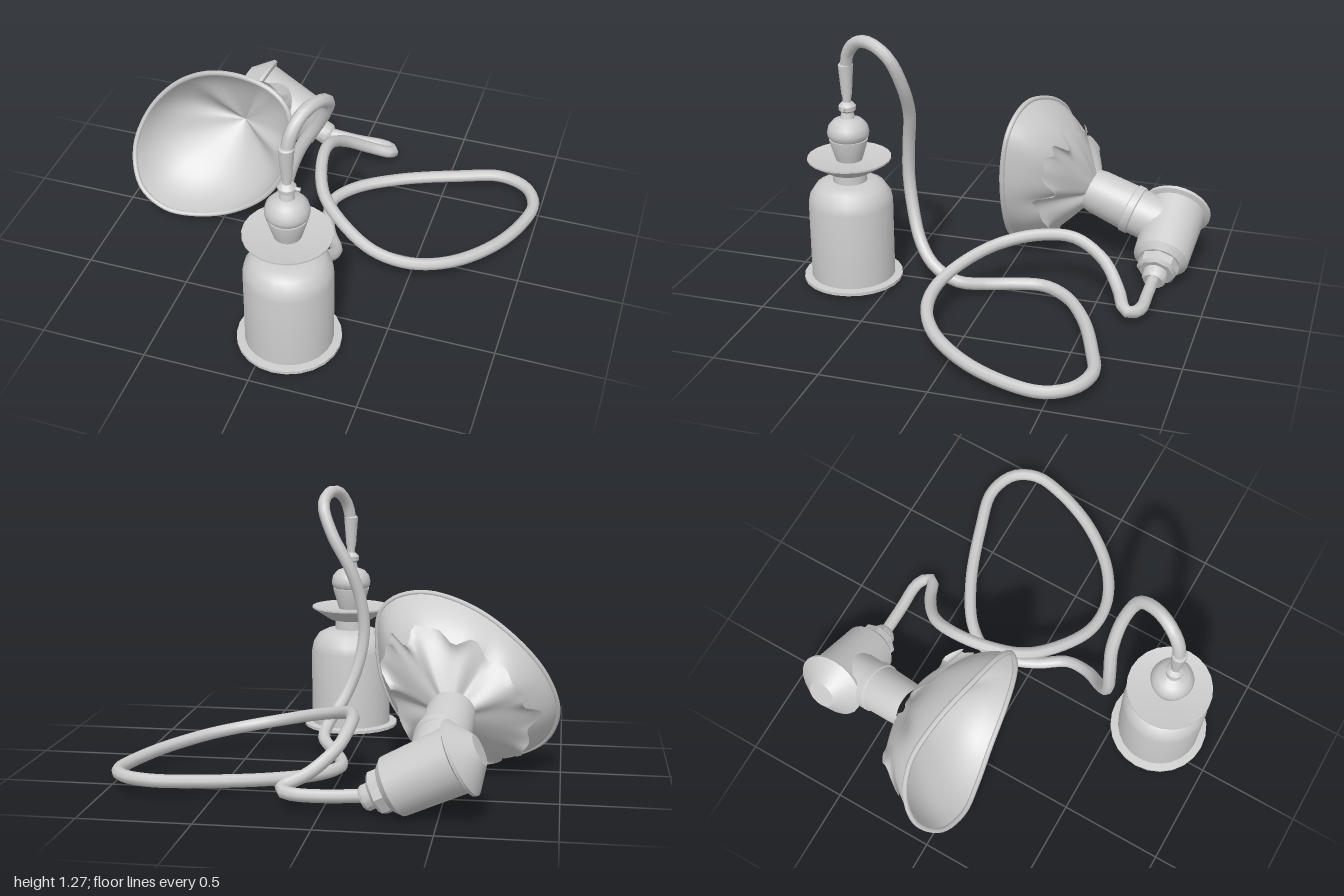
import * as THREE from 'three';
import { toCreasedNormals } from 'three/addons/utils/BufferGeometryUtils.js';

const V = (x, y, z) => new THREE.Vector3(x, y, z);
const mat = new THREE.MeshStandardMaterial({ color: 0xcccccc });
const thin = new THREE.MeshStandardMaterial({ color: 0xcccccc, side: THREE.DoubleSide });

function part(name, geometry, material = mat) {
  const m = new THREE.Mesh(geometry, material);
  m.name = name;
  return m;
}

// Turned part: profile is [radius, distance along the axis], rising from origin along dir
function turned(name, profile, origin, dir = V(0, 1, 0), sides = 24) {
  const g = new THREE.LatheGeometry(profile.map(([r, h]) => new THREE.Vector2(r, h)), sides);
  const m = part(name, toCreasedNormals(g, 0.6));
  m.position.copy(origin);
  m.quaternion.setFromUnitVectors(V(0, 1, 0), dir.clone().normalize());
  return m;
}

// Surface through closed rings: point(t, u) for t in 0..1 (rows) and u in 0..1 (around)
function loft(rows, cols, point) {
  const pos = [], idx = [];
  for (let i = 0; i <= rows; i++)
    for (let j = 0; j < cols; j++) pos.push(...point(i / rows, j / cols).toArray());
  for (let i = 0; i < rows; i++)
    for (let j = 0; j < cols; j++) {
      const a = i * cols + j, b = i * cols + (j + 1) % cols;
      idx.push(a, b, a + cols, b, b + cols, a + cols);
    }
  const g = new THREE.BufferGeometry();
  g.setAttribute('position', new THREE.Float32BufferAttribute(pos, 3));
  g.setIndex(idx);
  g.computeVertexNormals();
  return g;
}

function createBase() {
  const g = new THREE.Group();
  g.name = 'base';
  const o = V(0.09, 0, 0.70);
  g.add(
    turned('bellBody', [[0, 0.025], [0.24, 0.025], [0.24, 0.04], [0.203, 0.044], [0.203, 0.42], [0.195, 0.46],
      [0.165, 0.505], [0.125, 0.525], [0.082, 0.53], [0.082, 0.59]], o),
    turned('saucer', [[0.08, 0.575], [0.11, 0.582], [0.2, 0.64], [0.2, 0.648], [0.1, 0.632], [0, 0.63]], o),
    turned('cup', [[0, 0.63], [0.062, 0.635], [0.07, 0.66], [0.092, 0.735], [0.092, 0.742], [0, 0.742]], o),
    turned('ballKnob', [[0.08, 0.735], [0.097, 0.755], [0.1, 0.775], [0.093, 0.805], [0.07, 0.832], [0.035, 0.846],
      [0.028, 0.875], [0.04, 0.885], [0.041, 0.905], [0.028, 0.92], [0.02, 0.925], [0.022, 0.965]], o),
    turned('hoseSleeve', [[0, 0.955], [0.025, 0.96], [0.036, 1.105], [0.03, 1.112], [0, 1.112]], o, V(0, 1, 0), 12),
  );
  const key = part('valveKey', new THREE.CylinderGeometry(0.009, 0.009, 0.06, 8));
  key.rotation.z = Math.PI / 2;
  key.position.set(0.12, 0.9, 0.70);
  g.add(key);
  return g;
}

// Hose arches from the base, loops over the ground and ends at the lamp body
function createHose() {
  const path = new THREE.CatmullRomCurve3([
    [0.09, 1.08, 0.70], [0.105, 1.17, 0.68], [0.135, 1.235, 0.62], [0.17, 1.245, 0.54], [0.19, 1.19, 0.45],
    [0.14, 1.05, 0.405], [0.05, 0.88, 0.405], [0.0, 0.72, 0.43], [-0.015, 0.56, 0.44], [0.01, 0.4, 0.415],
    [0.07, 0.24, 0.355], [0.125, 0.15, 0.27], [0.14, 0.09, 0.15], [0.07, 0.06, 0.02], [0.02, 0.055, -0.1],
    [0.0, 0.055, -0.24], [0.08, 0.055, -0.37], [0.28, 0.06, -0.5], [0.57, 0.07, -0.61], [0.77, 0.08, -0.66],
    [0.91, 0.08, -0.61], [0.97, 0.075, -0.5], [0.95, 0.075, -0.35], [0.85, 0.085, -0.12], [0.68, 0.105, 0.08],
    [0.5, 0.13, 0.175], [0.33, 0.165, 0.18], [0.16, 0.215, 0.1], [0.02, 0.26, -0.03], [-0.05, 0.295, -0.2],
    [-0.07, 0.295, -0.37], [-0.03, 0.22, -0.52], [0.08, 0.13, -0.62], [0.18, 0.085, -0.67], [0.185, 0.075, -0.70],
    [0.13, 0.07, -0.735], [-0.02, 0.068, -0.737], [-0.2, 0.08, -0.737],
  ].map(p => V(...p)), false, 'centripetal');
  return part('hose', new THREE.TubeGeometry(path, 160, 0.03, 8));
}

// Lamp body lies sideways with a flanged cap at one end and nuts at the hose end
function createLampBody() {
  const axis = V(-0.4, 0.2, -0.03), o = V(-0.19, 0.07, -0.737);
  const g = new THREE.Group();
  g.name = 'lampBody';
  g.add(
    turned('hoseFitting', [[0, -0.015], [0.05, -0.015], [0.06, 0], [0.06, 0.05], [0.08, 0.055]], o, axis, 12),
    turned('nut', [[0, 0.04], [0.085, 0.04], [0.1, 0.055], [0.1, 0.105], [0, 0.105]], o, axis, 8),
    turned('housing', [[0, 0.1], [0.105, 0.1], [0.135, 0.13], [0.147, 0.43], [0.17, 0.44], [0.172, 0.455],
      [0.07, 0.535], [0, 0.537]], o, axis),
  );
  return g;
}

function createShade() {
  const g = new THREE.Group();
  g.name = 'shade';
  const c = V(-0.515, 0.35, -0.38), root = V(-0.47, 0.22, -0.76);
  const d = c.clone().sub(root).normalize();

  g.add(turned('neck', [[0.118, 0], [0.118, 0.185], [0.125, 0.19], [0.125, 0.225], [0.118, 0.23],
    [0.112, 0.4], [0.105, 0.44]], root, d));

  // Bent rim of the shade
  const rim = new THREE.CatmullRomCurve3([
    [-0.14, 0.58, 0.01], [-0.155, 0.74, -0.01], [-0.23, 0.815, -0.03], [-0.38, 0.845, -0.06], [-0.6, 0.785, -0.12],
    [-0.8, 0.645, -0.155], [-0.93, 0.48, -0.12], [-0.98, 0.3, -0.04], [-0.92, 0.14, 0.05], [-0.78, 0.06, 0.085],
    [-0.62, 0.045, 0.065], [-0.44, 0.09, 0.035], [-0.27, 0.22, 0.02], [-0.17, 0.4, 0.015],
  ].map(p => V(...p)), true);

  // Creases pressed into the bowl: [position around, width, depth]
  const creases = [[0.33, 0.025, 0.04], [0.4, 0.03, -0.025], [0.93, 0.03, 0.035], [0.2, 0.03, -0.02]];

  // Point on the cupped bowl from centre (t = 0) to rim (t = 1), pushed back along the axis by lift
  const bowl = (t, u, lift = 0) => {
    const r = rim.getPoint(u).sub(c), a = r.dot(d);
    const q = r.addScaledVector(d, -a);
    const dent = creases.reduce((s, [at, w, h]) => s + h * Math.exp(-(((u - at) / w) ** 2)), 0);
    return c.clone().addScaledVector(d, a * (0.7 * t + 0.3 * t ** 5) + dent * Math.sin(Math.PI * t) - lift)
      .addScaledVector(q, t + 0.4 * t * t * (1 - t));
  };
  g.add(part('bowl', loft(16, 72, (t, u) => bowl(t, u)), thin));
  g.add(part('rimBead', new THREE.TubeGeometry(rim, 80, 0.013, 6, true)));

  // Ragged skirt behind the bowl, its torn edge curling backwards
  const skirt = (t, u) => {
    const w = 2 * Math.PI * u;
    const edge = 0.75 + 0.04 * Math.sin(11 * w) + 0.035 * Math.sin(17 * w + 1) + 0.02 * Math.sin(5 * w);
    const curl = t ** 6 * (0.025 + 0.025 * Math.sin(7 * w + 2));
    return bowl(0.2 + t * (edge - 0.2), u, 0.02 + curl);
  };
  g.add(part('raggedSkirt', loft(10, 96, skirt), thin));
  return g;
}

export function createModel() {
  const model = new THREE.Group();
  model.name = 'lampWithHose';
  model.add(createBase(), createHose(), createLampBody(), createShade());
  return model;
}
